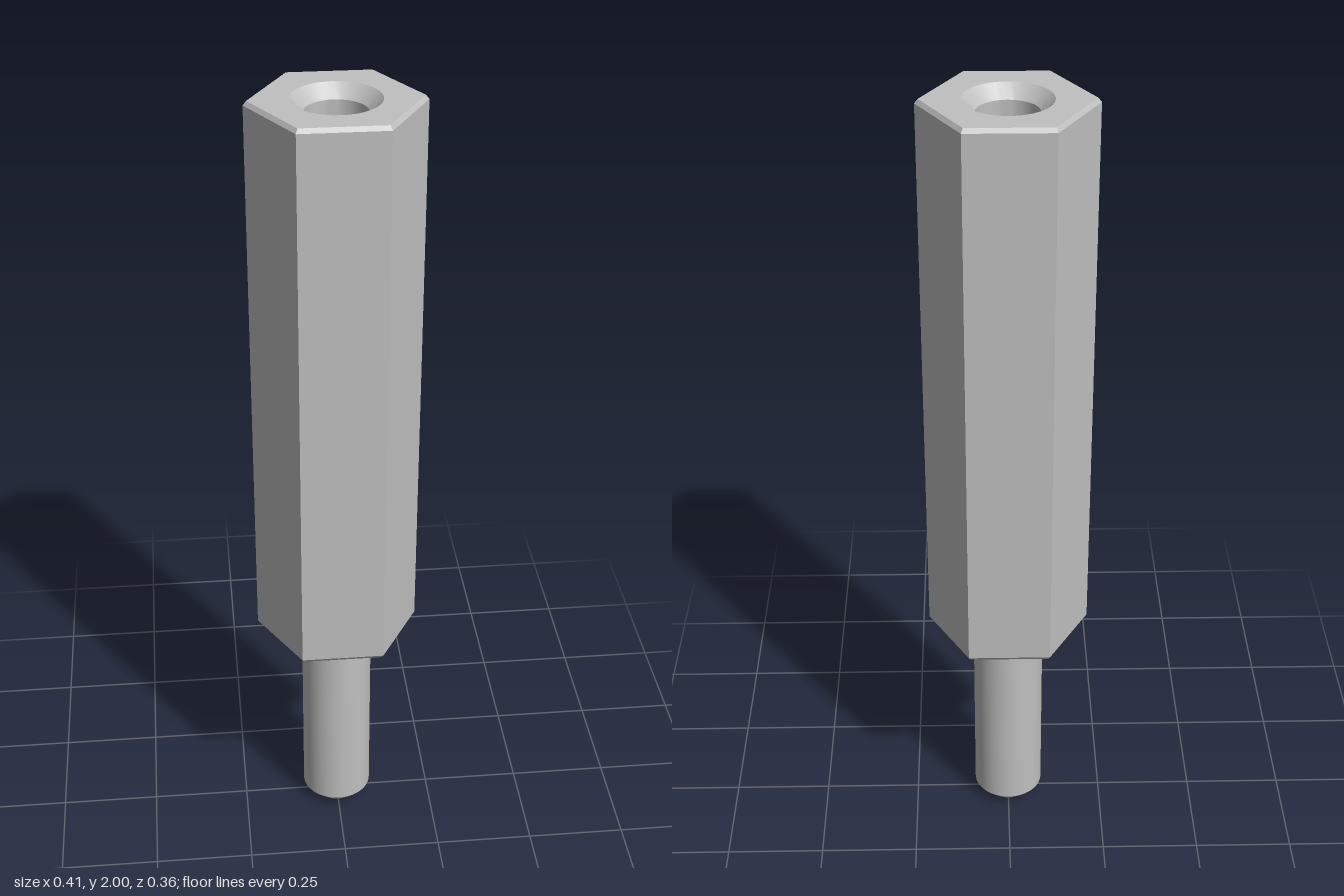
import * as THREE from 'three';
import { toCreasedNormals } from 'three/addons/utils/BufferGeometryUtils.js';

const V = (x, y) => new THREE.Vector2(x, y);
const CREASE = 0.4;

export function createModel() {
  const model = new THREE.Group();
  model.name = 'hexStandoff';
  const steel = new THREE.MeshStandardMaterial({ color: 0xc0c0c0 });
  steel.name = 'steel';

  const R = 0.205, INSET = 0.008, BEVEL = 0.01; // hexagon corner radius and edge chamfer
  const BOTTOM = 0.58, TOP = 2;
  const HOLE = 0.073, SINK = 0.104, STUD = 0.09;

  const add = (name, geometry) => {
    const mesh = new THREE.Mesh(geometry, steel);
    mesh.name = name;
    model.add(mesh);
    return mesh;
  };
  const turned = (name, points, segments, start = 0) =>
    add(name, toCreasedNormals(new THREE.LatheGeometry(points, segments, start), CREASE));

  // Six-sided body wall with chamfered ends, corners on the x axis
  turned('hexBody', [
    V(R - INSET, BOTTOM), V(R, BOTTOM + BEVEL),
    V(R, TOP - BEVEL), V(R - INSET, TOP),
  ], 6, Math.PI / 6);

  // Hexagonal end faces, each with a round opening
  const endFace = (name, y, hole, turn) => {
    const corners = [];
    for (let i = 0; i < 6; i++) {
      const a = i * Math.PI / 3;
      corners.push(V((R - INSET) * Math.cos(a), (R - INSET) * Math.sin(a)));
    }
    const shape = new THREE.Shape(corners);
    shape.holes.push(new THREE.Path().absarc(0, 0, hole, 0, Math.PI * 2, true));
    const geometry = new THREE.ShapeGeometry(shape, 24);
    geometry.rotateX(turn).translate(0, y, 0);
    add(name, geometry);
  };
  endFace('topFace', TOP, SINK, -Math.PI / 2);
  endFace('bottomFace', BOTTOM, STUD, Math.PI / 2);

  // Countersunk blind hole in the top
  turned('threadedHole', [
    V(SINK, TOP), V(HOLE, TOP - 0.031), V(HOLE, 1.42), V(0, 1.42),
  ], 48);

  // Round stud with a chamfered tip
  turned('stud', [
    V(0, 0), V(0.055, 0), V(STUD, 0.036), V(STUD, BOTTOM),
  ], 48);

  return model;
}
